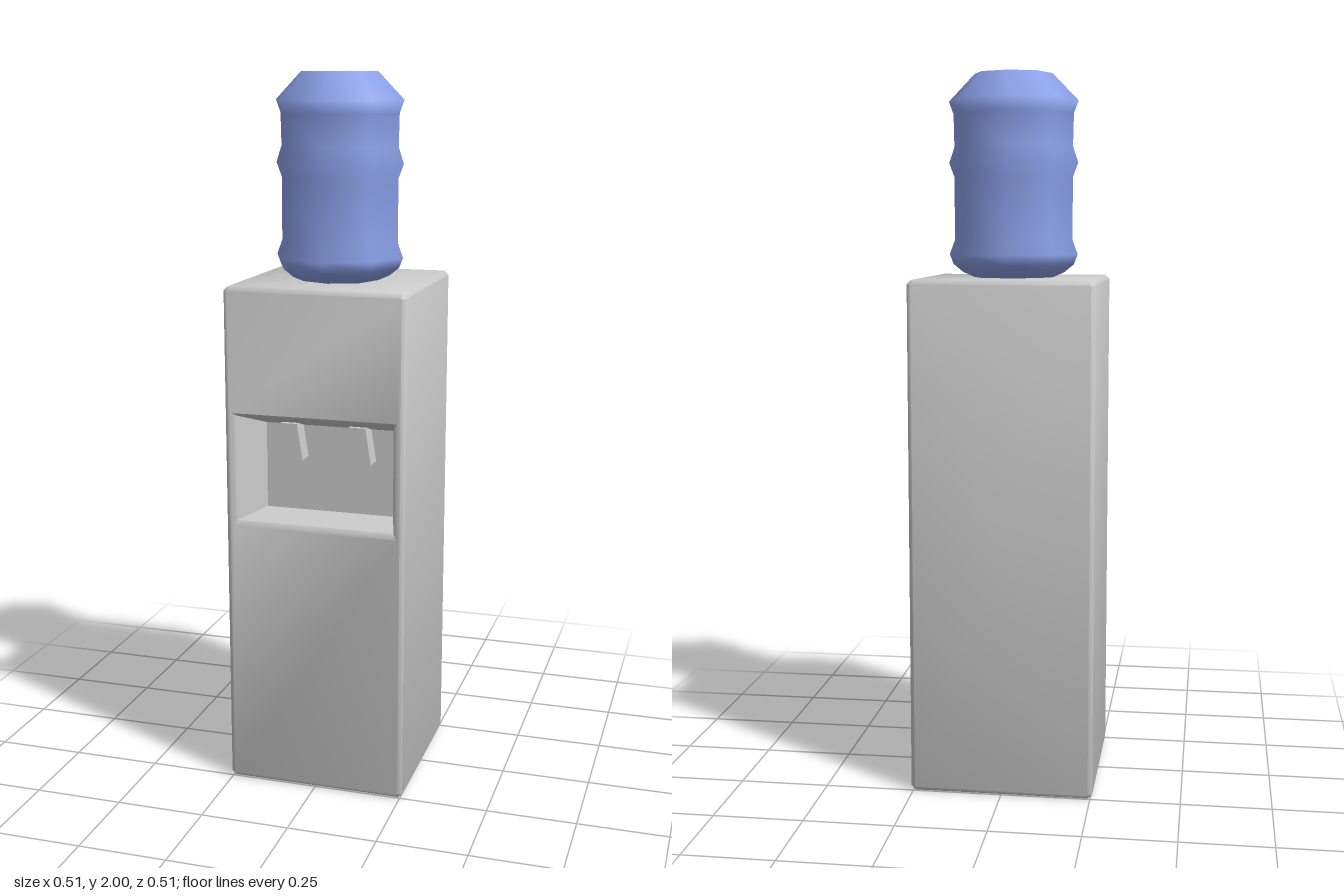
import * as THREE from 'three';
import { toCreasedNormals } from 'three/addons/utils/BufferGeometryUtils.js';

const grey = new THREE.MeshStandardMaterial({ color: 0xcccccc });
const blue = new THREE.MeshStandardMaterial({ color: 0x8aa0e8 });

// Rectangle with cut corners, counterclockwise as seen from the front
function rectLoop([w, y0, y1, z, cut]) {
  return [
    [w, y0 + cut], [w, y1 - cut], [w - cut, y1], [cut - w, y1],
    [-w, y1 - cut], [-w, y0 + cut], [cut - w, y0], [w - cut, y0],
  ].map(([x, y]) => new THREE.Vector3(x, y, z));
}

// Skin a series of loops, leaving out triangles that collapse to nothing
function skin(loops) {
  const pos = [];
  const tri = (a, b, c) => {
    if (new THREE.Triangle(a, b, c).getArea() > 1e-9) {
      for (const p of [a, b, c]) pos.push(p.x, p.y, p.z);
    }
  };
  for (let k = 0; k + 1 < loops.length; k++) {
    const a = loops[k], b = loops[k + 1], n = a.length;
    for (let i = 0; i < n; i++) {
      const j = (i + 1) % n;
      tri(a[i], a[j], b[j]);
      tri(a[i], b[j], b[i]);
    }
  }
  const geo = new THREE.BufferGeometry();
  geo.setAttribute('position', new THREE.Float32BufferAttribute(pos, 3));
  return geo;
}

function part(name, geo, material, parent) {
  const mesh = new THREE.Mesh(geo, material);
  mesh.name = name;
  parent.add(mesh);
  return mesh;
}

export function createModel() {
  const model = new THREE.Group();
  model.name = 'waterCooler';

  // Cabinet: half width, bottom, top, z, corner cut; back to front, then into the niche
  const sections = [
    [0, 0.72, 0.72, -0.256, 0],
    [0.244, 0.012, 1.424, -0.256, 0.002],
    [0.256, 0, 1.436, -0.244, 0.012],
    [0.256, 0, 1.436, 0.244, 0.012],
    [0.244, 0.012, 1.424, 0.256, 0.002],
    [0.234, 0.765, 1.088, 0.256, 0],
    [0.225, 0.78, 1.08, 0.246, 0],
    [0.186, 0.784, 1.032, 0.105, 0],
    [0, 0.91, 0.91, 0.105, 0],
  ];
  part('cabinet', toCreasedNormals(skin(sections.map(rectLoop)), 0.87), grey, model);

  // Two tapered taps on the back wall of the niche
  const tapShape = new THREE.Shape([
    new THREE.Vector2(-0.04, 0.942), new THREE.Vector2(0.04, 0.942),
    new THREE.Vector2(0.024, 1.046), new THREE.Vector2(-0.024, 1.046),
  ]);
  const tapGeo = new THREE.ExtrudeGeometry(tapShape, { depth: 0.06, bevelEnabled: false });
  for (const [name, x] of [['leftTap', 0.096], ['rightTap', -0.102]]) {
    part(name, tapGeo, grey, model).position.set(x, 0, 0.1);
  }

  // Eight-sided bottle with three raised ribs
  const bottle = new THREE.Group();
  bottle.name = 'bottle';
  bottle.position.z = 0.008;
  model.add(bottle);
  const profile = [
    [0.1, 1.43], [0.145, 1.45], [0.172, 1.472], [0.183, 1.5], [0.168, 1.54],
    [0.168, 1.715], [0.183, 1.755], [0.168, 1.8], [0.17, 1.89], [0.183, 1.925], [0.11, 2],
  ].map(([r, y]) => new THREE.Vector2(r, y));
  part('bottleWall', new THREE.LatheGeometry(profile, 8), blue, bottle);
  const cap = part('bottleTop', new THREE.CircleGeometry(0.11, 8), blue, bottle);
  cap.rotation.x = -Math.PI / 2;
  cap.position.y = 2;
  const base = part('bottleBase', new THREE.CircleGeometry(0.1, 8), blue, bottle);
  base.rotation.x = Math.PI / 2;
  base.position.y = 1.43;

  return model;
}
